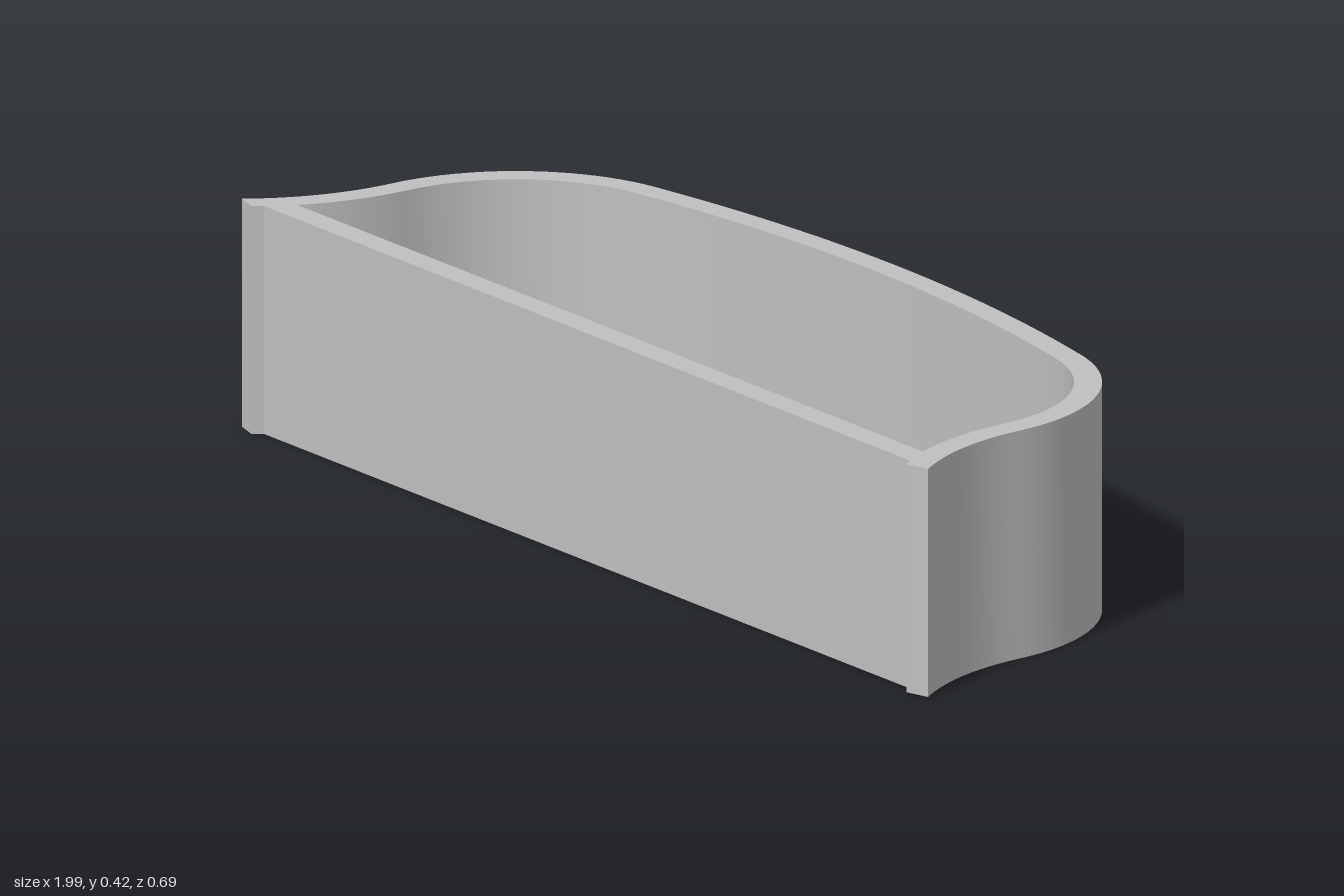
import * as THREE from 'three';
import { toCreasedNormals } from 'three/addons/utils/BufferGeometryUtils.js';

const HEIGHT = 0.417;
const WALL = 0.049;

// Points on an arc in plan; angle 0 points to +x, positive angles turn towards the back (-z)
function arc(cx, cz, r, from, to, steps) {
  return Array.from({ length: steps + 1 }, (_, i) => {
    const a = from + (to - from) * i / steps;
    return [cx + r * Math.cos(a), cz - r * Math.sin(a)];
  });
}

// Left half of the curved wall, from the front corner to the middle of the back;
// endZ is where the flared part meets the front
function halfCurve(inset, endZ) {
  const lean = 0.189;
  const flare = 0.455 + inset;
  const sweep = Math.asin((endZ - 0.067) / flare);
  return [
    ...arc(1.367, 0.067, flare, Math.PI + sweep, Math.PI, 12),
    ...arc(0.552, 0.067, 0.36 - inset, 0, Math.PI / 2 - lean, 20).slice(1),
    ...arc(0, 2.955, 3.3 - inset, Math.PI / 2 - lean, Math.PI / 2, 12).slice(1),
  ];
}

// Mirror a half outline to the other side; plan z becomes negative shape y
function closedOutline(half) {
  const other = half.filter(([x]) => x > 1e-6).reverse().map(([x, z]) => [-x, z]);
  return [...half, ...other].map(([x, z]) => new THREE.Vector2(x, -z));
}

export function createModel() {
  const model = new THREE.Group();
  model.name = 'curvedFrame';
  const grey = new THREE.MeshStandardMaterial({ color: 0xc0c0c0 });
  grey.name = 'light grey';

  // Open ring: flat front, bowed back and flared front corners with small lips
  const lip = [[0.94, 0.327], [0.952, 0.345]];
  const shape = new THREE.Shape(closedOutline([...lip, ...halfCurve(0, 0.332)]));
  shape.holes.push(new THREE.Path(closedOutline(halfCurve(WALL, 0.277))));
  const ring = new THREE.ExtrudeGeometry(shape, { depth: HEIGHT, bevelEnabled: false });
  ring.rotateX(-Math.PI / 2);
  const wall = new THREE.Mesh(toCreasedNormals(ring, 0.45), grey);
  wall.name = 'wall';
  model.add(wall);

  // Small block on the inside of the front wall
  const tab = new THREE.Mesh(new THREE.BoxGeometry(0.1, 0.06, 0.024), grey);
  tab.name = 'innerTab';
  tab.position.set(-0.115, 0.06, 0.268);
  model.add(tab);

  return model;
}
